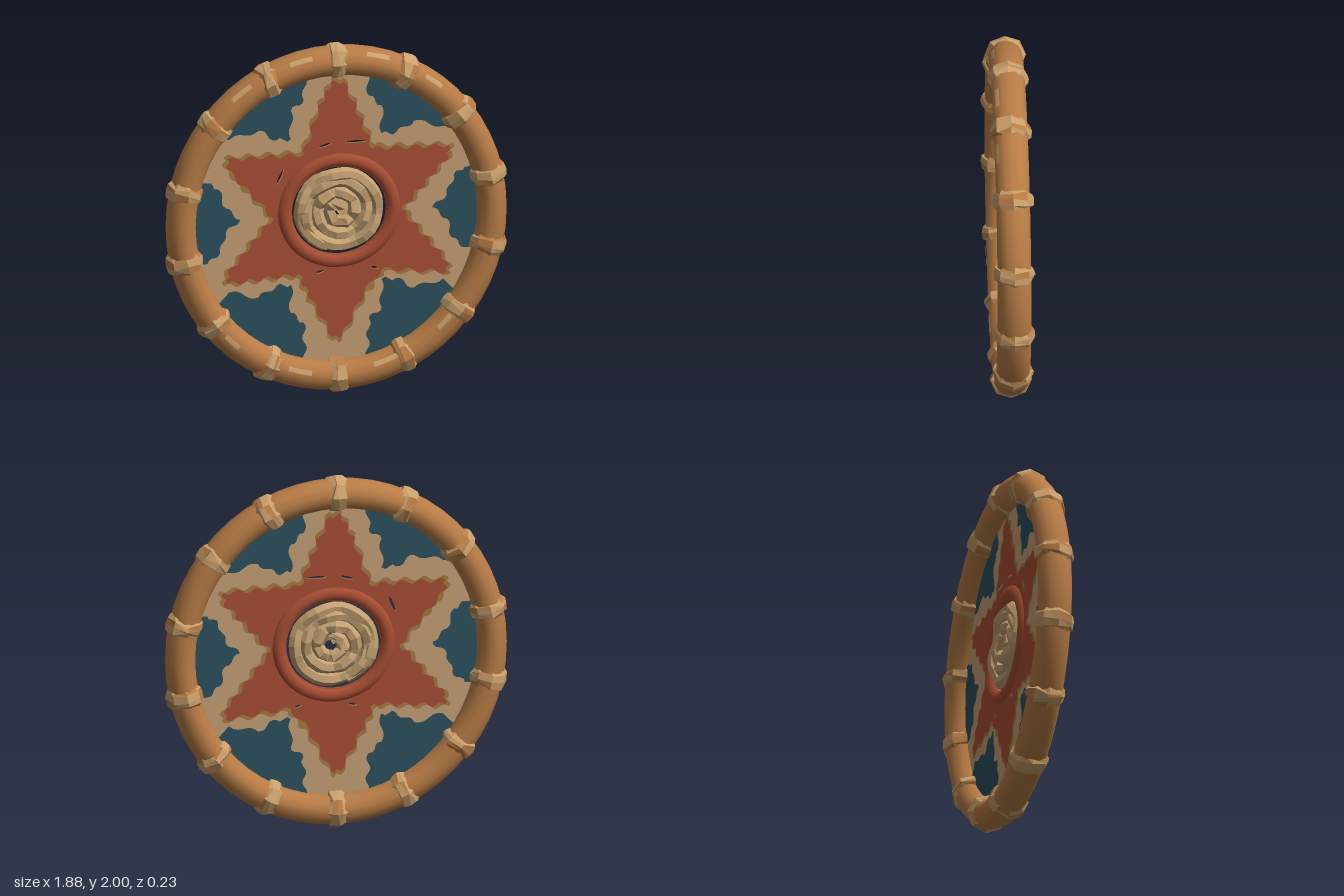
import * as THREE from 'three';

const mat = (name, color, side = THREE.FrontSide) => {
  const m = new THREE.MeshStandardMaterial({ color, side });
  m.name = name;
  return m;
};
const RX = 0.858, RY = 0.895, CY = 1, WRAPS = 14;

// small seeded random, 0..1
let seed = 7;
const rand = () => (seed = (seed * 16807) % 2147483647) / 2147483647;

// patch of tube surface along the elliptical hoop; a full turn of p closes the tube
function hoopSurface({ t0, t1, nT, p0 = 0, p1 = Math.PI * 2, nP, rr, rz, scale = () => 1, jitter = 0 }) {
  const closedP = p1 - p0 > 6.28, closedT = t1 - t0 > 6.28;
  const cols = closedP ? nP : nP + 1, rows = closedT ? nT : nT + 1;
  const pos = [], idx = [];
  for (let i = 0; i < rows; i++) {
    for (let j = 0; j < cols; j++) {
      const t = t0 + (t1 - t0) * i / nT + (rand() - 0.5) * jitter;
      const p = p0 + (p1 - p0) * j / nP;
      const n = new THREE.Vector2(Math.cos(t) / RX, Math.sin(t) / RY).normalize();
      const s = scale(i) * (1 - rand() * jitter);
      const r = rr * s * Math.cos(p);
      pos.push(RX * Math.cos(t) + n.x * r, CY + RY * Math.sin(t) + n.y * r, rz * s * Math.sin(p));
    }
  }
  for (let i = 0; i < nT; i++) {
    for (let j = 0; j < nP; j++) {
      const i2 = (i + 1) % rows, j2 = (j + 1) % cols;
      const a = i * cols + j, b = i2 * cols + j, c = i2 * cols + j2, d = i * cols + j2;
      idx.push(a, b, c, a, c, d);
    }
  }
  const g = new THREE.BufferGeometry();
  g.setAttribute('position', new THREE.Float32BufferAttribute(pos, 3));
  g.setIndex(idx);
  g.computeVertexNormals();
  return g;
}

const flat = (g) => {
  const f = g.toNonIndexed();
  f.computeVertexNormals();
  return f;
};

// polyline with scalloped edges, like brushed paint
function wavy(points, amp, closed) {
  const out = [];
  const n = closed ? points.length : points.length - 1;
  for (let k = 0; k < n; k++) {
    const a = points[k], b = points[(k + 1) % points.length];
    const dx = b[0] - a[0], dy = b[1] - a[1], len = Math.hypot(dx, dy);
    const steps = Math.max(1, Math.round(len / 0.018));
    for (let i = 0; i < steps; i++) {
      const u = i / steps, w = amp * Math.sin(u * Math.PI * 2 * Math.max(1, Math.round(len / 0.11)));
      out.push(new THREE.Vector2(a[0] + dx * u - dy / len * w, a[1] + dy * u + dx / len * w));
    }
  }
  if (!closed) out.push(new THREE.Vector2(...points[points.length - 1]));
  return out;
}

const arc = (a, b, n = 16) => Array.from({ length: n + 1 }, (_, i) => {
  const t = a + (b - a) * i / n;
  return new THREE.Vector2(0.81 * Math.cos(t), CY + 0.84 * Math.sin(t));
});

export function createModel() {
  const root = new THREE.Group();
  root.name = 'roundShield';
  const wood = mat('wood brown', 0xb87c46);
  const wrapTan = mat('wrap tan', 0xcaa06c);
  const hide = mat('hide tan', 0xc6a075, THREE.DoubleSide);
  const blue = mat('deep blue', 0x2a505e, THREE.DoubleSide);
  const red = mat('brick red', 0xa94e33, THREE.DoubleSide);
  const ochre = mat('ochre outline', 0xa67a40, THREE.DoubleSide);
  const coilTan = mat('coil tan', 0xc3a071);
  const add = (name, g, m, z = 0) => {
    const mesh = new THREE.Mesh(g, m);
    mesh.name = name;
    mesh.position.z = z;
    root.add(mesh);
    return mesh;
  };
  const TAU = Math.PI * 2;

  // hoop
  add('hoop', hoopSurface({ t0: 0, t1: TAU, nT: 56, nP: 14, rr: 0.083, rz: 0.093 }), wood);

  // faceted wraps, mostly tan with some worn facets
  const profile = [0.7, 0.96, 1, 0.95, 0.7];
  for (let k = 0; k < WRAPS; k++) {
    const t = Math.PI / 2 + k / WRAPS * TAU, half = 0.058 + rand() * 0.012;
    const nP = 8;
    const g = hoopSurface({
      t0: t - half, t1: t + half, nT: 4, nP, rr: 0.106, rz: 0.116,
      scale: (i) => profile[i], jitter: 0.035,
    });
    for (let f = 0; f < 4 * nP; f++) g.addGroup(f * 6, 6, rand() < 0.3 ? 1 : 0);
    add('wrap', flat(g), [wrapTan, wood]);
  }

  // worn light patches on the hoop
  for (const [t, len, p] of [[1.8, 0.07, 0.9], [1.33, 0.07, 0.8], [5.05, 0.1, 2.1], [4.45, 0.08, 1.9],
    [3.95, 0.06, 1.6], [0.95, 0.06, 1.0], [2.2, 0.07, 0.9], [5.5, 0.06, 2.0]]) {
    add('wornPatch', hoopSurface({
      t0: t - len, t1: t + len, nT: 6, p0: p - 0.16, p1: p + 0.16, nP: 3, rr: 0.085, rz: 0.095,
    }), wrapTan);
  }

  // hide panel with a centre opening and a few torn slots
  const HX = 0.015, HY = 1.04;
  const holes = (shape) => {
    shape.holes.push(new THREE.Path().absellipse(HX, HY, 0.262, 0.25, 0, TAU, true));
    for (const [x, y, w, a] of [[-0.06, 1.415, 0.04, 0.25], [0.11, 1.425, 0.06, 0],
      [-0.31, 1.25, 0.045, 1.15], [-0.09, 0.695, 0.025, 0.2], [0.21, 0.70, 0.02, -0.3]]) {
      shape.holes.push(new THREE.Path().absellipse(x, y, w, 0.008, 0, TAU, true, a));
    }
    return shape;
  };
  add('hidePanel', new THREE.ShapeGeometry(holes(new THREE.Shape(arc(0, TAU * 63 / 64, 63))), 16), hide);

  // six-pointed star and its outline
  const star = [[0.035, 1.77], [0.09, 1.66], [0.2, 1.38], [0.62, 1.37], [0.62, 1.31], [0.36, 1.02],
    [0.61, 0.71], [0.61, 0.65], [0.25, 0.69], [0.15, 0.56], [0.03, 0.32], [-0.02, 0.32],
    [-0.14, 0.54], [-0.21, 0.69], [-0.6, 0.66], [-0.6, 0.72], [-0.35, 1.02],
    [-0.6, 1.31], [-0.6, 1.37], [-0.18, 1.37], [-0.1, 1.62], [-0.03, 1.77]];
  const outline = star.map(([x, y]) => {
    const d = Math.hypot(x, y - 1.03), s = (d + 0.024) / d;
    return [x * s, 1.03 + (y - 1.03) * s];
  });
  const starGeo = new THREE.ShapeGeometry(holes(new THREE.Shape(wavy(star, 0.013, true))), 16);
  const outlineGeo = new THREE.ShapeGeometry(holes(new THREE.Shape(wavy(outline, 0.013, true))), 16);

  // blue fields between the rays
  const corner = [[0.17, 1.83], [0.18, 1.68], [0.25, 1.62], [0.25, 1.46], [0.33, 1.46], [0.43, 1.52], [0.59, 1.48]];
  const fields = [];
  for (const sx of [1, -1]) {
    for (const sy of [1, -1]) {
      const inner = corner.map(([x, y]) => [x * sx, sy > 0 ? y : 2.09 - y]);
      inner[0][1] = CY + sy * 0.82;
      const edge = arc(0.6, 1.36).map((v) => new THREE.Vector2(v.x * sx, CY + (v.y - CY) * sy));
      fields.push(new THREE.Shape([...edge, ...wavy(inner, 0.012, false)]));
    }
    const side = [[0.71, 1.24], [0.65, 1.2], [0.61, 1.09], [0.53, 1.02], [0.61, 0.95], [0.64, 0.84], [0.71, 0.78]];
    const edge = arc(-0.27, 0.29).map((v) => new THREE.Vector2(v.x * sx, v.y));
    fields.push(new THREE.Shape([...edge, ...wavy(side.map(([x, y]) => [x * sx, y]), 0.01, false)]));
  }
  const fieldGeo = new THREE.ShapeGeometry(fields);

  // paint both faces
  for (const s of [1, -1]) {
    add('blueFields', fieldGeo, blue, s * 0.004);
    add('starOutline', outlineGeo, ochre, s * 0.006);
    add('star', starGeo, red, s * 0.01);
  }

  // raised red rim round the centre
  const rim = add('centreRim', new THREE.TorusGeometry(0.3, 0.042, 8, 40), red);
  rim.position.set(HX, HY, 0);
  rim.scale.set(1, 0.96, 0.85);

  // coiled rope centre
  const coil = [];
  for (let i = 0; i <= 72; i++) {
    const u = i / 72, a = u * TAU * 3.7, r = Math.min(0.213, 0.02 + 0.25 * u);
    coil.push(new THREE.Vector3(HX + r * Math.cos(a), HY + r * 0.96 * Math.sin(a), 0.012 * Math.sin(i * 1.7)));
  }
  add('centreCoil', flat(new THREE.TubeGeometry(new THREE.CatmullRomCurve3(coil), 72, 0.037, 6)), coilTan);
  return root;
}
